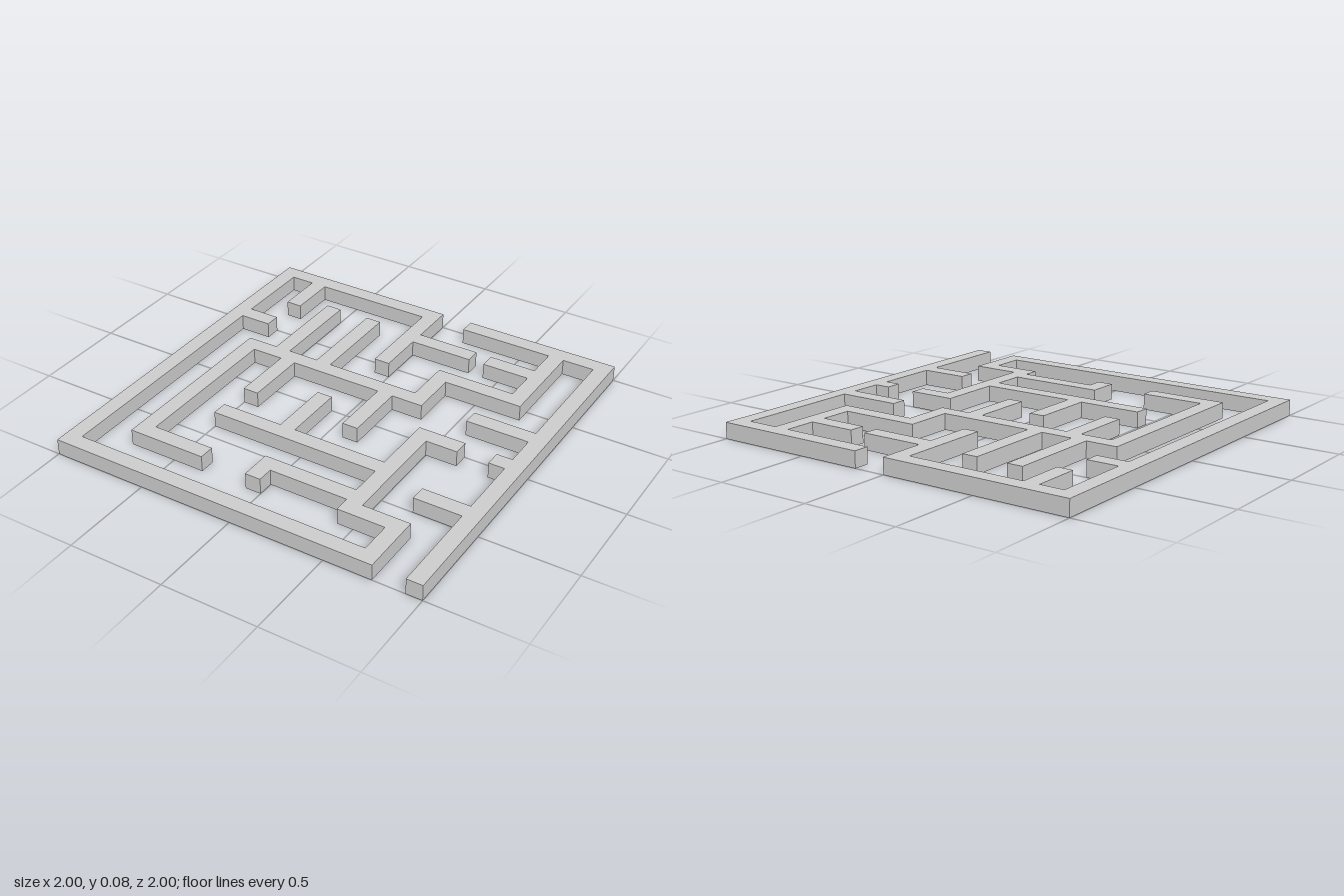
import * as THREE from 'three';

const CELL = 1 / 12;   // wall thickness and height
const N = 48;          // half-cell grid across the maze

// Wall bars as [x0, z0, x1, z1] in wall thicknesses, from the back left corner
const leftBars = [
  [0, 0, 12, 1], [0, 0, 1, 24], [0, 23, 21, 24],               // outer border
  [2.5, 1, 3.5, 4], [0, 6, 3, 7], [11, 0, 12, 7], [12, 3, 16, 4],
  [20, 20, 21, 24], [17, 20, 21, 21], [17, 12, 18, 21],        // inner branch
  [17, 12, 20, 13], [6, 16, 17, 17], [10, 12, 11, 16],
  [11, 19, 17, 20], [11, 19, 12, 21],
];
const rightBars = [
  [14, 0, 24, 1], [23, 0, 24, 24],                             // outer border
  [19, 9, 23, 10], [22, 12, 23, 13], [20, 17, 23, 18],
  [20, 0, 21, 7], [17, 3, 20, 4], [15, 6, 21, 7],              // inner branch
  [15, 6, 16, 10], [3, 9, 16, 10], [5, 3, 6, 9], [8, 3, 9, 9],
  [3, 9, 4, 21], [3, 20, 8, 21], [6, 10, 7, 14], [13, 10, 14, 14],
];

// Merge connected bars into one outline by following the exposed cell edges
function outline(bars) {
  const filled = (x, z) => bars.some(([a, b, c, d]) =>
    x >= 2 * a && x < 2 * c && z >= 2 * b && z < 2 * d);
  const next = new Map();
  const edge = (x0, z0, x1, z1) => next.set(`${x0},${z0}`, [x1, z1]);
  for (let z = 0; z < N; z++) {
    for (let x = 0; x < N; x++) {
      if (!filled(x, z)) continue;
      if (!filled(x, z - 1)) edge(x, z, x + 1, z);
      if (!filled(x + 1, z)) edge(x + 1, z, x + 1, z + 1);
      if (!filled(x, z + 1)) edge(x + 1, z + 1, x, z + 1);
      if (!filled(x - 1, z)) edge(x, z + 1, x, z);
    }
  }
  const loop = [];
  let key = next.keys().next().value;
  while (next.has(key)) {
    const p = next.get(key);
    next.delete(key);
    loop.push(p);
    key = p.join();
  }
  // Keep only the corners
  const corners = loop.filter((p, i) => {
    const a = loop.at(i - 1), b = loop[(i + 1) % loop.length];
    return !(a[0] === b[0] || a[1] === b[1]);
  });
  return corners.map(([x, z]) =>
    new THREE.Vector2(x * CELL / 2 - 1, 1 - z * CELL / 2));
}

export function createModel() {
  const maze = new THREE.Group();
  maze.name = 'maze';
  const material = new THREE.MeshStandardMaterial({ color: 0xcccccc });

  for (const [name, bars] of [['leftWalls', leftBars], ['rightWalls', rightBars]]) {
    const geometry = new THREE.ExtrudeGeometry(new THREE.Shape(outline(bars)),
      { depth: CELL, bevelEnabled: false });
    geometry.rotateX(-Math.PI / 2);
    const walls = new THREE.Mesh(geometry, material);
    walls.name = name;
    maze.add(walls);
  }
  return maze;
}
